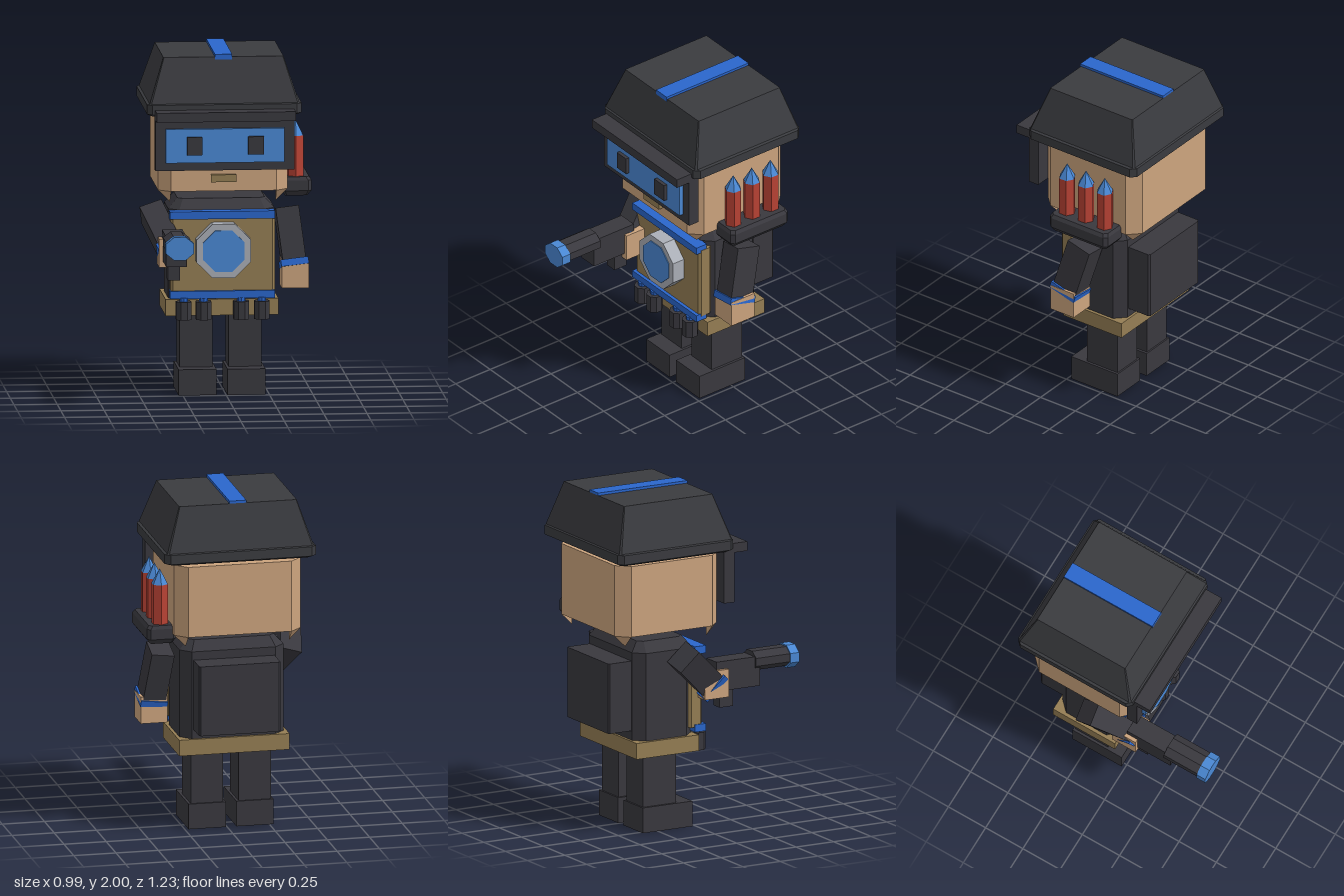
import * as THREE from 'three';
import { ConvexGeometry } from 'three/addons/geometries/ConvexGeometry.js';

const mat = (name, color) => {
  const m = new THREE.MeshStandardMaterial({ color, flatShading: true });
  m.name = name;
  return m;
};

export function createModel() {
  const charcoal = mat('charcoal', 0x39383e), helmetBlack = mat('helmet black', 0x3a3b3f);
  const skyBlue = mat('sky blue', 0x4a88d4), royalBlue = mat('royal blue', 0x2a66cc);
  const skin = mat('skin', 0xcca47e), khaki = mat('khaki', 0x957e54);
  const red = mat('red', 0xb84234), steel = mat('steel', 0xabafb7);
  const root = new THREE.Group();

  const add = (name, geo, material, parent = root) => {
    const m = new THREE.Mesh(geo, material);
    m.name = name;
    parent.add(m);
    return m;
  };
  // Box given by its limits on each axis
  const box = (name, material, [x0, x1], [y0, y1], [z0, z1]) =>
    add(name, new THREE.BoxGeometry(x1 - x0, y1 - y0, z1 - z0)
      .translate((x0 + x1) / 2, (y0 + y1) / 2, (z0 + z1) / 2), material);
  // Loft through chamfered rectangles: [y, x0, x1, z0, z1, chamfer]
  const loft = (name, material, sections) => {
    const rings = sections.map(([y, x0, x1, z0, z1, c]) => [
      [x1, y, z1 - c], [x1, y, z0 + c], [x1 - c, y, z0], [x0 + c, y, z0],
      [x0, y, z0 + c], [x0, y, z1 - c], [x0 + c, y, z1], [x1 - c, y, z1]]);
    const p = [];
    const tri = (a, b, c) => p.push(...a, ...b, ...c);
    for (let r = 0; r + 1 < rings.length; r++) {
      for (let i = 0; i < 8; i++) {
        const j = (i + 1) % 8, lo = rings[r], hi = rings[r + 1];
        tri(lo[i], lo[j], hi[j]);
        tri(lo[i], hi[j], hi[i]);
      }
    }
    const bot = rings[0], top = rings[rings.length - 1];
    for (let i = 1; i < 7; i++) {
      tri(top[0], top[i], top[i + 1]);
      tri(bot[0], bot[i + 1], bot[i]);
    }
    const g = new THREE.BufferGeometry();
    g.setAttribute('position', new THREE.Float32BufferAttribute(p, 3));
    g.computeVertexNormals();
    return add(name, g, material);
  };
  // Octagonal prism along z, flat sides at half width rx and half height ry
  const octagon = (name, material, x, y, rx, ry, z0, z1) => {
    const k = 1 / Math.cos(Math.PI / 8);
    return add(name, new THREE.CylinderGeometry(k, k, z1 - z0, 8).rotateY(Math.PI / 8)
      .rotateX(Math.PI / 2).scale(rx, ry, 1).translate(x, y, (z0 + z1) / 2), material);
  };

  // Helmet
  loft('helmet', helmetBlack, [
    [1.65, -0.44, 0.39, -0.585, 0.125, 0.02],
    [1.665, -0.47, 0.425, -0.615, 0.155, 0.03],
    [1.72, -0.47, 0.425, -0.615, 0.155, 0.03],
    [1.725, -0.455, 0.41, -0.605, 0.145, 0.01],
    [1.985, -0.37, 0.325, -0.53, 0.06, 0.004]]);
  box('helmetStripe', royalBlue, [-0.072, 0.028], [1.97, 2], [-0.53, 0.065]);

  // Head with pointed lower corners
  loft('head', skin, [1.21, 1.63].map((y) => [y, -0.4, 0.35, -0.57, 0.11, 0.07]));
  for (const [x, sx] of [[-0.4, 1], [0.35, -1]]) {
    for (const [z, sz] of [[-0.57, 1], [0.11, -1]]) {
      const xi = x + sx * 0.07, zi = z + sz * 0.07;
      add('jawCorner', new ConvexGeometry([[x, 1.21, zi], [xi, 1.21, z], [xi, 1.14, zi], [xi, 1.21, zi]]
        .map((v) => new THREE.Vector3(...v))), skin);
    }
  }
  box('mouth', khaki, [-0.1, 0.046], [1.265, 1.308], [0.1, 0.136]);

  // Visor
  box('visorFrame', charcoal, [-0.425, 0.38], [1.34, 1.69], [0.105, 0.172]);
  box('visorBrim', charcoal, [-0.425, 0.38], [1.635, 1.69], [0.15, 0.26]);
  box('visorGlass', skyBlue, [-0.367, 0.32], [1.388, 1.585], [0.16, 0.196]);
  box('rightEye', charcoal, [-0.245, -0.158], [1.436, 1.54], [0.18, 0.217]);
  box('leftEye', charcoal, [0.108, 0.2], [1.436, 1.54], [0.18, 0.217]);

  // Shoulder rocket rack
  loft('rocketRack', charcoal, [
    [1.15, 0.345, 0.475, -0.445, -0.075, 0.01],
    [1.18, 0.325, 0.498, -0.468, -0.053, 0.02],
    [1.24, 0.325, 0.498, -0.468, -0.053, 0.02],
    [1.26, 0.335, 0.485, -0.458, -0.063, 0.02]]);
  for (const z of [-0.125, -0.26, -0.395]) {
    add('rocketBody', new THREE.CylinderGeometry(0.05, 0.05, 0.25, 6).translate(0.41, 1.37, z), red);
    add('rocketTip', new THREE.ConeGeometry(0.05, 0.09, 6).translate(0.41, 1.54, z), skyBlue);
  }

  // Torso, chest armour and backpack
  loft('torso', charcoal, [
    [0.5, -0.33, 0.285, -0.42, -0.03, 0.06],
    [1.08, -0.33, 0.285, -0.42, -0.03, 0.06],
    [1.14, -0.275, 0.23, -0.375, -0.08, 0.03]]);
  loft('chestPlate', khaki, [0.6, 1.05].map((y) => [y, -0.325, 0.28, -0.07, 0.02, 0.015]));
  box('upperChestBar', royalBlue, [-0.33, 0.277], [1.035, 1.08], [-0.035, 0.04]);
  box('lowerChestBar', royalBlue, [-0.33, 0.277], [0.572, 0.616], [-0.035, 0.04]);
  octagon('chestRing', steel, -0.024, 0.857, 0.157, 0.157, 0.01, 0.1);
  octagon('chestLens', skyBlue, -0.024, 0.857, 0.12, 0.12, 0.098, 0.105);
  loft('backpack', charcoal, [0.615, 1.03].map((y) => [y, -0.265, 0.215, -0.572, -0.4, 0.01]));

  // Belt and pouches
  box('belt', khaki, [-0.35, 0.303], [0.465, 0.56], [-0.435, -0.02]);
  for (const x of [-0.25, -0.135, 0.083, 0.202]) {
    add('pouch', new THREE.CylinderGeometry(0.048, 0.048, 0.105, 8).rotateY(Math.PI / 8)
      .translate(x, 0.503, 0.028), charcoal);
    add('pouchCap', new THREE.CylinderGeometry(0.025, 0.025, 0.03, 8).translate(x, 0.562, 0.028), royalBlue);
  }

  // Legs and feet
  for (const [side, x] of [['right', -0.165], ['left', 0.118]]) {
    box(side + 'Leg', charcoal, [x - 0.095, x + 0.095], [0.14, 0.45], [-0.34, -0.12]);
    box(side + 'Foot', charcoal, [x - 0.11, x + 0.11], [0, 0.15], [-0.35, -0.02]);
  }

  // Arms: sleeve and cuff aligned from shoulder to wrist
  const arm = (side, shoulder, wrist) => {
    const a = new THREE.Vector3(...shoulder), b = new THREE.Vector3(...wrist);
    const len = a.distanceTo(b), g = new THREE.Group();
    g.name = side + 'Arm';
    add(side + 'Sleeve', new THREE.BoxGeometry(0.135, len, 0.16).translate(0, -len / 2, 0), charcoal, g);
    add(side + 'Cuff', new THREE.BoxGeometry(0.16, 0.04, 0.18).translate(0, -len - 0.015, 0), royalBlue, g);
    g.position.copy(a);
    g.quaternion.setFromUnitVectors(new THREE.Vector3(0, 1, 0), a.sub(b).normalize());
    root.add(g);
  };
  arm('left', [0.365, 1.055, -0.222], [0.4, 0.76, -0.145]);
  arm('right', [-0.42, 1.055, -0.165], [-0.33, 0.865, 0.045]);
  box('leftHand', skin, [0.325, 0.482], [0.613, 0.772], [-0.225, -0.057]);
  box('rightHand', skin, [-0.402, -0.242], [0.775, 0.94], [-0.01, 0.15]);

  // Blaster
  box('blasterBody', charcoal, [-0.38, -0.262], [0.81, 0.985], [0.08, 0.37]);
  box('blasterGrip', charcoal, [-0.356, -0.286], [0.705, 0.82], [0.115, 0.203]);
  octagon('blasterBarrel', charcoal, -0.321, 0.955, 0.075, 0.057, 0.335, 0.57);
  octagon('blasterMuzzle', skyBlue, -0.321, 0.953, 0.082, 0.067, 0.56, 0.618);

  return root;
}
